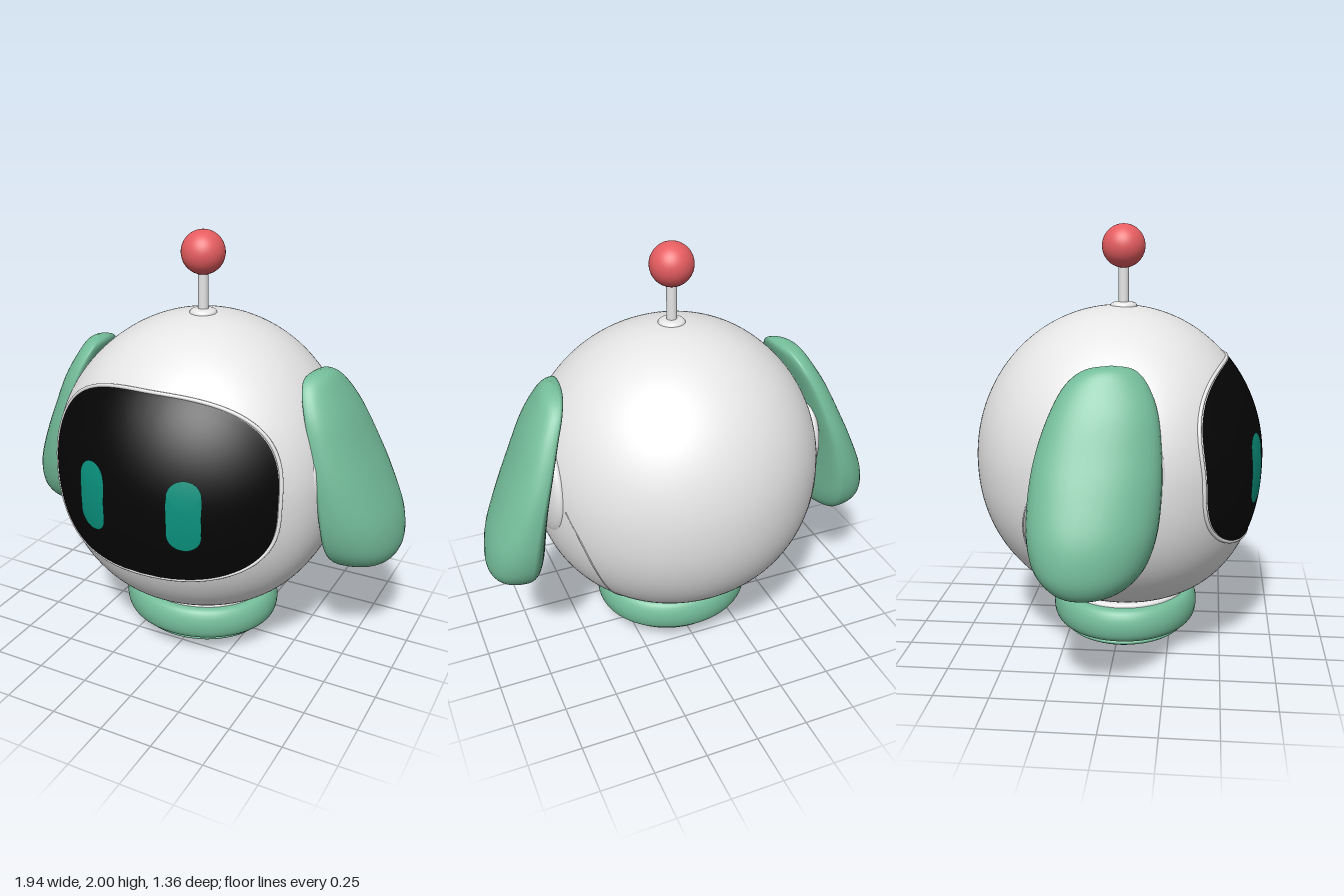
import * as THREE from 'three';

const mat = (name, color, side = THREE.FrontSide) => {
  const m = new THREE.MeshStandardMaterial({ color, side });
  m.name = name;
  return m;
};
const V = (x, y, z) => new THREE.Vector3(x, y, z);

// Head surface: round on top, fuller and slightly forward below, wider around the face
const HEAD_Y = 0.92, TOP = 0.71, BOTTOM = 0.7, FACE_WIDE = 1.06;
const headRadius = (y) => {
  const u = Math.abs(y - HEAD_Y) / (y > HEAD_Y ? TOP : BOTTOM);
  const p = y > HEAD_Y ? 2 : 2.2;
  return 0.676 * Math.pow(Math.max(0, 1 - Math.pow(u, p)), 1 / p);
};
const forward = (y) => 0.027 * THREE.MathUtils.clamp((HEAD_Y - y) / 0.56, 0, 1) ** 2;
const widen = (z) => 1.02 + (FACE_WIDE - 1.02) * THREE.MathUtils.smoothstep(z, 0, 0.35);
const headZ = (x, y) => forward(y) + Math.sqrt(Math.max(0, headRadius(y) ** 2 - (x / FACE_WIDE) ** 2));
const headX = (y, z) => widen(z) * Math.sqrt(Math.max(0, headRadius(y) ** 2 - (z - forward(y)) ** 2));

// Surface of rows of closed rings; fn(t, angle) gives each point
function loft(rows, cols, fn, flip = false) {
  const pos = [], idx = [];
  for (let i = 0; i <= rows; i++)
    for (let j = 0; j < cols; j++) pos.push(...fn(i / rows, (j / cols) * Math.PI * 2).toArray());
  for (let i = 0; i < rows; i++)
    for (let j = 0; j < cols; j++) {
      const k = (j + 1) % cols;
      const a = i * cols + j, b = a + cols, c = i * cols + k, d = c + cols;
      if (flip) idx.push(a, c, b, b, c, d);
      else idx.push(a, b, c, b, d, c);
    }
  const g = new THREE.BufferGeometry();
  g.setAttribute('position', new THREE.Float32BufferAttribute(pos, 3));
  g.setIndex(idx);
  g.computeVertexNormals();
  return g;
}

// Superellipse direction
const bend = (v, n) => Math.sign(v) * Math.pow(Math.abs(v), 2 / n);

// Visor outline, rounder above and squarer below
const VISOR_Y = 0.96;
const visorEdge = (a) => {
  const s = Math.sin(a), n = s > 0 ? 2.55 : 3;
  return [0.562 * bend(Math.cos(a), n), (s > 0 ? 0.432 : 0.378) * bend(s, n)];
};
// Tall pill outline of an eye
const eyeEdge = (a) => {
  const r = 0.073, c = Math.cos(a), s = Math.sin(a);
  return [r * c, r * s + Math.sign(Math.round(s * 1e6)) * (0.1625 - r)];
};
// Thin plate following the head
const plate = (edge, cx, cy, lift) => loft(28, 96, (t, a) => {
  const [dx, dy] = edge(a);
  const x = cx + dx * t, y = cy + dy * t;
  return V(x, y, headZ(x, y) + lift);
});

// Ear sections: y, inner x, outer x, front z, back z
const EAR = [
  [0.52, 0.83, 0.83, -0.05, -0.05], [0.53, 0.76, 0.9, 0.05, -0.16],
  [0.57, 0.71, 0.945, 0.13, -0.23], [0.65, 0.685, 0.965, 0.19, -0.285],
  [0.78, 0.67, 0.945, 0.227, -0.31], [0.95, 0.65, 0.875, 0.24, -0.305],
  [1.1, 0.62, 0.805, 0.235, -0.28], [1.25, 0.58, 0.735, 0.215, -0.23],
  [1.36, 0.545, 0.67, 0.17, -0.17], [1.42, 0.535, 0.625, 0.11, -0.09],
  [1.44, 0.575, 0.575, 0.02, 0.02],
];
// Ear: flat towards the head, domed outwards, front edge tucked in
function earGeometry(side) {
  const curve = (ix, iz) => new THREE.CatmullRomCurve3(EAR.map((s) => V(s[ix], s[0], s[iz])), false, 'catmullrom', 0.5);
  const inner = curve(1, 3), outer = curve(2, 4);
  return loft(50, 40, (t, a) => {
    const p = inner.getPoint(t), q = outer.getPoint(t), w = q.x - p.x;
    const c = bend(Math.cos(a), 2.15), s = bend(Math.sin(a), 2.15);
    const x = p.x + w * (0.25 + c * (c > 0 ? 0.75 : 0.25) - 0.15 * s);
    return V(side * x, p.y, (p.z + q.z) / 2 + ((p.z - q.z) / 2) * s);
  }, side < 0);
}

export function createModel() {
  const model = new THREE.Group();
  model.name = 'robotHead';
  const shell = mat('shellGrey', 0xe6e6e6);
  const green = mat('softGreen', 0x74bd9a);
  const black = mat('visorBlack', 0x050505, THREE.DoubleSide);
  const teal = mat('eyeTeal', 0x0a917d, THREE.DoubleSide);
  const lensTeal = mat('lensTeal', 0x2eeedb);
  const red = mat('antennaRed', 0xe65d60);
  const add = (name, geo, material, x = 0, y = 0, z = 0) => {
    const m = new THREE.Mesh(geo, material);
    m.name = name;
    m.position.set(x, y, z);
    model.add(m);
    return m;
  };
  const lathe = (pts, n = 64) => new THREE.LatheGeometry(pts, n);
  const smooth = (pts, n) => new THREE.SplineCurve(pts.map((p) => new THREE.Vector2(p[0], p[1]))).getPoints(n);

  // Head shell
  add('head', loft(80, 128, (t, a) => {
    const s = Math.sin((t - 0.5) * Math.PI);
    const y = HEAD_Y + s * (s > 0 ? TOP : BOTTOM);
    const r = headRadius(y), z = forward(y) + r * Math.sin(a);
    return V(widen(z) * r * Math.cos(a), y, z);
  }), shell);

  // Visor, its rim and the eyes
  add('visor', plate(visorEdge, 0, VISOR_Y, 0.006), black);
  const rim = [];
  for (let i = 0; i < 72; i++) {
    const [dx, dy] = visorEdge((i / 72) * Math.PI * 2);
    const x = dx * 1.01, y = VISOR_Y + dy * 1.01;
    rim.push(V(x, y, headZ(x, y)));
  }
  add('visorRim', new THREE.TubeGeometry(new THREE.CatmullRomCurve3(rim, true), 216, 0.009, 8, true), shell);
  for (const side of [1, -1])
    add(side > 0 ? 'leftEye' : 'rightEye', plate(eyeEdge, side * 0.227, 0.922, 0.012), teal);

  // Ears, hubs and rear seams
  for (const side of [1, -1]) {
    const n = side > 0 ? 'left' : 'right';
    add(n + 'Ear', earGeometry(side), green);
    add(n + 'EarHub', new THREE.SphereGeometry(1, 40, 24), shell, side * 0.635, 0.97, 0).scale.set(0.07, 0.265, 0.265);
    const seam = [[0.95, -0.28], [0.82, -0.35], [0.68, -0.37], [0.5, -0.33], [0.37, -0.25], [0.3, -0.18]];
    const path = new THREE.CatmullRomCurve3(seam.map(([y, z]) => V(side * headX(y, z), y, z)));
    add(n + 'Seam', new THREE.TubeGeometry(path, 40, 0.004, 6), shell);
  }

  // Neck ring, collar and the lens underneath
  const OVAL = 0.905, NECK_Z = 0.03;
  add('neckRing', lathe(smooth([[0.2, 0.25], [0.32, 0.25], [0.332, 0.263], [0.318, 0.275], [0.25, 0.28]], 16)), shell, 0, 0, NECK_Z).scale.z = OVAL;
  add('collar', lathe(smooth([[0.29, 0.1], [0.34, 0.095], [0.376, 0.122], [0.388, 0.175], [0.376, 0.228], [0.345, 0.257], [0.27, 0.262]], 36)), green, 0, 0, NECK_Z).scale.z = OVAL;
  add('lowerCollar', lathe(smooth([[0.27, 0.075], [0.295, 0.06], [0.322, 0.07], [0.328, 0.085], [0.3, 0.105]], 20)), green, 0, 0, NECK_Z).scale.z = OVAL;
  add('lens', new THREE.SphereGeometry(1, 56, 28), lensTeal, 0, 0.08, NECK_Z - 0.005).scale.set(0.305, 0.08, 0.28);

  // Antenna
  add('antennaBase', lathe(smooth([[0.062, 1.6], [0.062, 1.63], [0.045, 1.643], [0.01, 1.646]], 12), 32), shell, 0, 0, 0.02);
  add('antennaStalk', new THREE.CylinderGeometry(0.024, 0.024, 0.24, 24), shell, 0, 1.73, 0.02);
  add('antennaBall', new THREE.SphereGeometry(0.1, 40, 28), red, 0, 1.9, 0.02);
  return model;
}
